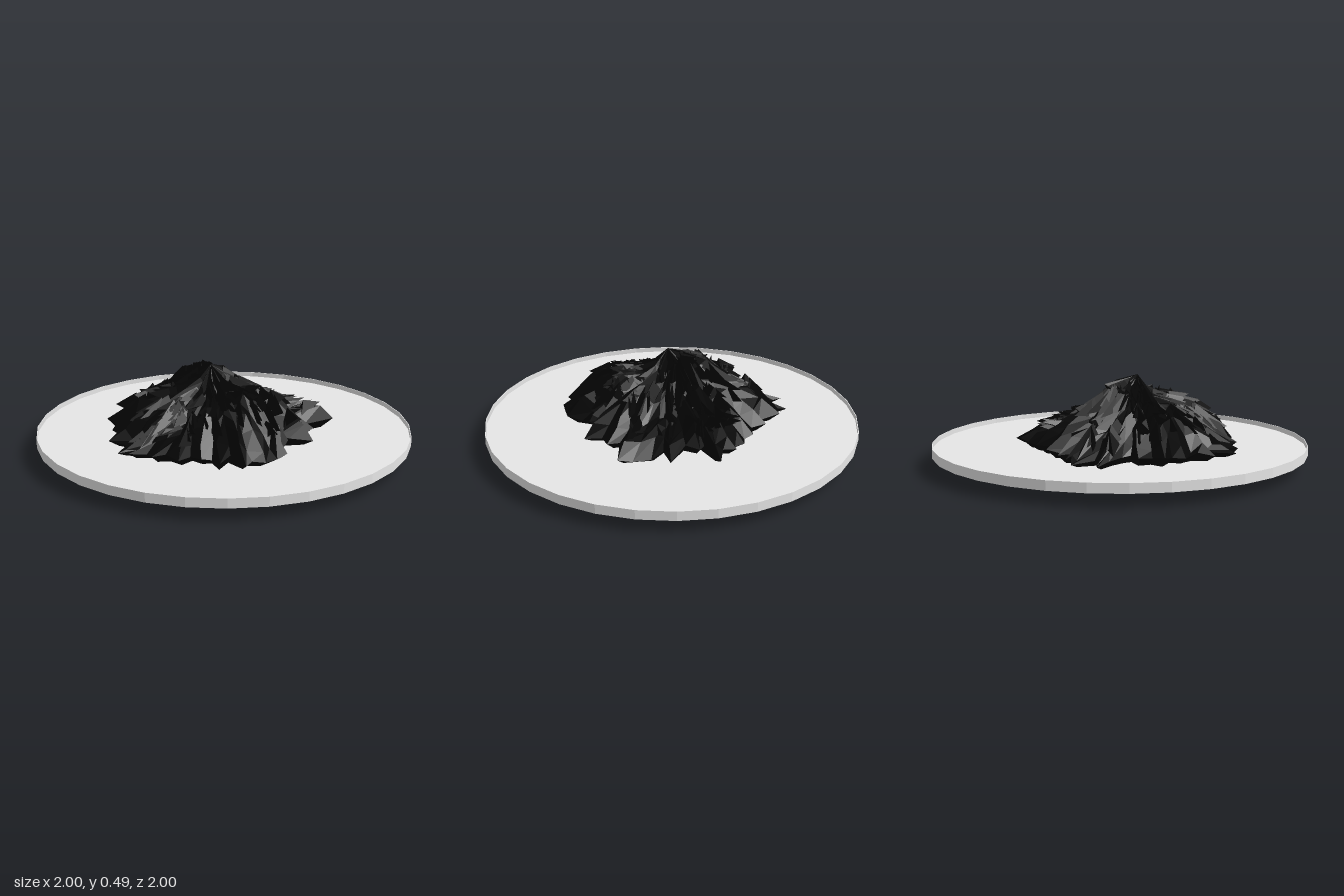
import * as THREE from 'three';

// Small seeded generator so the heap is always the same
function seeded(seed) {
  let s = seed;
  return () => {
    s = (s * 16807) % 2147483647;
    return s / 2147483647;
  };
}

// Piecewise linear curve through [position, height] pairs
function curve(points) {
  return (v) => {
    if (v <= points[0][0]) return points[0][1];
    for (let i = 1; i < points.length; i++) {
      const [a, ha] = points[i - 1], [b, hb] = points[i];
      if (v <= b) return ha + ((hb - ha) * (v - a)) / (b - a);
    }
    return points[points.length - 1][1];
  };
}

const ridgeX = curve([[-0.64, 0.13], [-0.5, 0.22], [-0.38, 0.32], [-0.18, 0.38], [-0.11, 0.485],
  [0.02, 0.45], [0.03, 0.4], [0.15, 0.33], [0.25, 0.235], [0.34, 0.26], [0.44, 0.22], [0.52, 0.16]]);
const ridgeZ = curve([[-0.6, 0.12], [-0.5, 0.2], [-0.45, 0.29], [-0.3, 0.31], [-0.22, 0.4], [-0.18, 0.45],
  [0, 0.485], [0.13, 0.38], [0.27, 0.4], [0.38, 0.28], [0.46, 0.25], [0.55, 0.18]]);
const ceiling = (x, z) => Math.min(ridgeX(x), ridgeZ(z));
const FLOOR = 0.094;

// Points of the ragged edge: x, z and how far out the notch after each one reaches
const TIPS = [[-0.12, -0.65, 0.87], [0.02, -0.64, 0.9], [0.12, -0.57, 0.87], [0.23, -0.46, 0.92],
  [0.33, -0.36, 0.96], [0.41, -0.29, 0.93], [0.48, -0.23, 0.92], [0.55, -0.13, 0.82], [0.44, -0.05, 0.86],
  [0.52, 0.12, 0.82], [0.47, 0.21, 1], [0.46, 0.38, 0.85], [0.27, 0.4, 0.9], [0.15, 0.5, 0.9],
  [0.01, 0.45, 0.93], [-0.11, 0.55, 1], [-0.27, 0.55, 0.95], [-0.37, 0.51, 0.82], [-0.47, 0.43, 0.88],
  [-0.47, 0.3, 0.88], [-0.56, 0.23, 0.94], [-0.62, 0.1, 0.92], [-0.66, -0.03, 0.97], [-0.67, -0.1, 0.87],
  [-0.6, -0.25, 0.93], [-0.48, -0.36, 0.9], [-0.41, -0.48, 0.92], [-0.28, -0.5, 0.88], [-0.18, -0.46, 0.96]];
const PEAK = [-0.1, 0];

// Alternate tips with notches between them
function makeOutline(rnd) {
  const out = [];
  TIPS.forEach((a, i) => {
    const b = TIPS[(i + 1) % TIPS.length];
    const m = 0.35 + rnd() * 0.3;
    out.push([a[0], a[1]]);
    out.push([0, 1].map((k) => PEAK[k] + (a[k] + (b[k] - a[k]) * m - PEAK[k]) * a[2]));
  });
  return out;
}

function triangleGeometry(triangles) {
  const g = new THREE.BufferGeometry();
  g.setAttribute('position', new THREE.Float32BufferAttribute(triangles.flat(2), 3));
  g.computeVertexNormals();
  return g;
}

// Folded skin running from the peak to the ragged edge, tucked in beneath it
function heapGeometry(outline, rnd) {
  const rings = [0.14, 0.3, 0.46, 0.62, 0.76, 0.88, 1];
  const n = outline.length;
  const peak = [PEAK[0], 0.485, PEAK[1]];
  const grid = rings.map((t, r) => outline.map(([ox, oz], c) => {
    const edge = r === rings.length - 1;
    const tt = edge ? t : t + (rnd() - 0.5) * 0.1;
    const twist = edge ? 0 : (rnd() - 0.5) * 0.06;
    const dx = ox - PEAK[0], dz = oz - PEAK[1];
    const x = PEAK[0] + (dx - dz * twist) * tt;
    const z = PEAK[1] + (dz + dx * twist) * tt;
    const fold = edge ? rnd() * 0.03 : (c % 2 ? 0.025 : 0) + rnd() * 0.05;
    const dome = 0.15 + 0.35 * (1 - tt * tt);
    return [x, Math.max(0.115, Math.min(ceiling(x, z), dome) - fold), z];
  }));
  grid.push(outline.map(([x, z]) => [PEAK[0] + (x - PEAK[0]) * 0.89, FLOOR - 0.005, PEAK[1] + (z - PEAK[1]) * 0.89]));
  const tris = [];
  for (let c = 0; c < n; c++) {
    const d = (c + 1) % n;
    tris.push([peak, grid[0][d], grid[0][c]]);
    for (let r = 0; r + 1 < grid.length; r++) {
      const [a, b, e, f] = [grid[r][c], grid[r][d], grid[r + 1][d], grid[r + 1][c]];
      tris.push([a, b, e], [a, e, f]);
    }
  }
  return triangleGeometry(tris);
}

// Three-sided splinter from a base to a point
function splinter(left, right, top, tip) {
  return [[left, top, tip], [top, right, tip], [right, left, tip], [left, right, top]];
}

// Splinters lying over the skin, pointing outward at uneven angles
function splintersGeometry(outline, rnd) {
  const tris = [];
  for (let i = 0; i < 200; i++) {
    const [ox, oz] = outline[Math.floor(rnd() * TIPS.length) * 2];
    const dx = ox - PEAK[0], dz = oz - PEAK[1], len = Math.hypot(dx, dz);
    const t0 = 0.08 + rnd() * 0.66;
    const t1 = Math.min(0.94, t0 + 0.12 + rnd() * 0.16);
    const at = (t, side, lift) => {
      const x = PEAK[0] + dx * t - (dz / len) * side;
      const z = PEAK[1] + dz * t + (dx / len) * side;
      const y = Math.min(ceiling(x, z), 0.15 + 0.35 * (1 - t * t) + lift);
      return [x, Math.max(0.115, y + Math.min(0, lift)), z];
    };
    const w = 0.015 + rnd() * 0.035;
    tris.push(...splinter(at(t0, -w, -0.07), at(t0, w, -0.07), at(t0 + 0.03, 0, 0.015),
      at(t1, (rnd() - 0.5) * 0.12, rnd() * 0.025)));
  }
  // Second summit
  tris.push(...splinter([-0.12, 0.38, -0.12], [0.02, 0.36, -0.06], [-0.1, 0.48, 0], [0.02, 0.45, -0.18]));
  tris.push(...splinter([-0.1, 0.38, -0.08], [0, 0.36, 0.06], [-0.1, 0.485, 0], [0.02, 0.45, -0.02]));
  return triangleGeometry(tris);
}

// Splinters poking through below the plate
function lowerGeometry() {
  const tris = [
    ...splinter([0.17, 0.08, 0.45], [0.05, 0.03, 0.47], [0.1, 0, 0.46], [-0.07, 0.069, 0.03]),
    ...splinter([0.3, 0.08, -0.3], [0.38, 0.08, -0.16], [0.43, 0.035, -0.2], [0.26, 0.06, -0.16]),
    ...splinter([0.27, 0.08, -0.3], [0.36, 0.08, -0.26], [0.33, 0.035, -0.36], [0.12, 0.055, -0.28]),
    ...splinter([0.14, 0.08, -0.24], [0.2, 0.08, -0.3], [0.12, 0.05, -0.28], [0.24, 0.06, -0.12]),
    ...splinter([-0.12, 0.08, -0.4], [-0.22, 0.08, -0.42], [-0.16, 0.035, -0.45], [-0.2, 0.06, -0.38]),
  ];
  const bits = [[-0.22, -0.48, 0.055, 0.025], [-0.09, -0.58, 0.055, 0.02],
    [-0.21, 0.41, 0.05, 0.03], [0.4, 0, 0.04, 0.035], [-0.62, -0.06, 0.06, 0.025]];
  for (const [x, z, y, s] of bits) {
    tris.push(...splinter([x - s, 0.08, z], [x + s, 0.08, z - s], [x, 0.08, z + s], [x, y, z]));
  }
  return triangleGeometry(tris);
}

export function createModel() {
  const plateGrey = new THREE.MeshStandardMaterial({ color: 0xe6e6e6, flatShading: true });
  plateGrey.name = 'plateGrey';
  const sootBlack = new THREE.MeshStandardMaterial({ color: 0x050505, flatShading: true, side: THREE.DoubleSide });
  sootBlack.name = 'sootBlack';

  const model = new THREE.Group();
  model.name = 'heapOnPlate';
  const add = (name, geometry, material) => {
    const mesh = new THREE.Mesh(geometry, material);
    mesh.name = name;
    model.add(mesh);
  };

  // Round base plate with a slightly sunken floor and a thin rim
  const profile = [[0, 0.07], [1, 0.07], [1, 0.12], [0.996, 0.12], [0.996, FLOOR], [0, FLOOR]];
  add('plate', new THREE.LatheGeometry(profile.map(([x, y]) => new THREE.Vector2(x, y)), 32), plateGrey);

  // Spiky black heap
  const rnd = seeded(4711);
  const outline = makeOutline(rnd);
  add('heap', heapGeometry(outline, rnd), sootBlack);
  add('splinters', splintersGeometry(outline, rnd), sootBlack);
  add('lowerSplinters', lowerGeometry(), sootBlack);
  return model;
}
